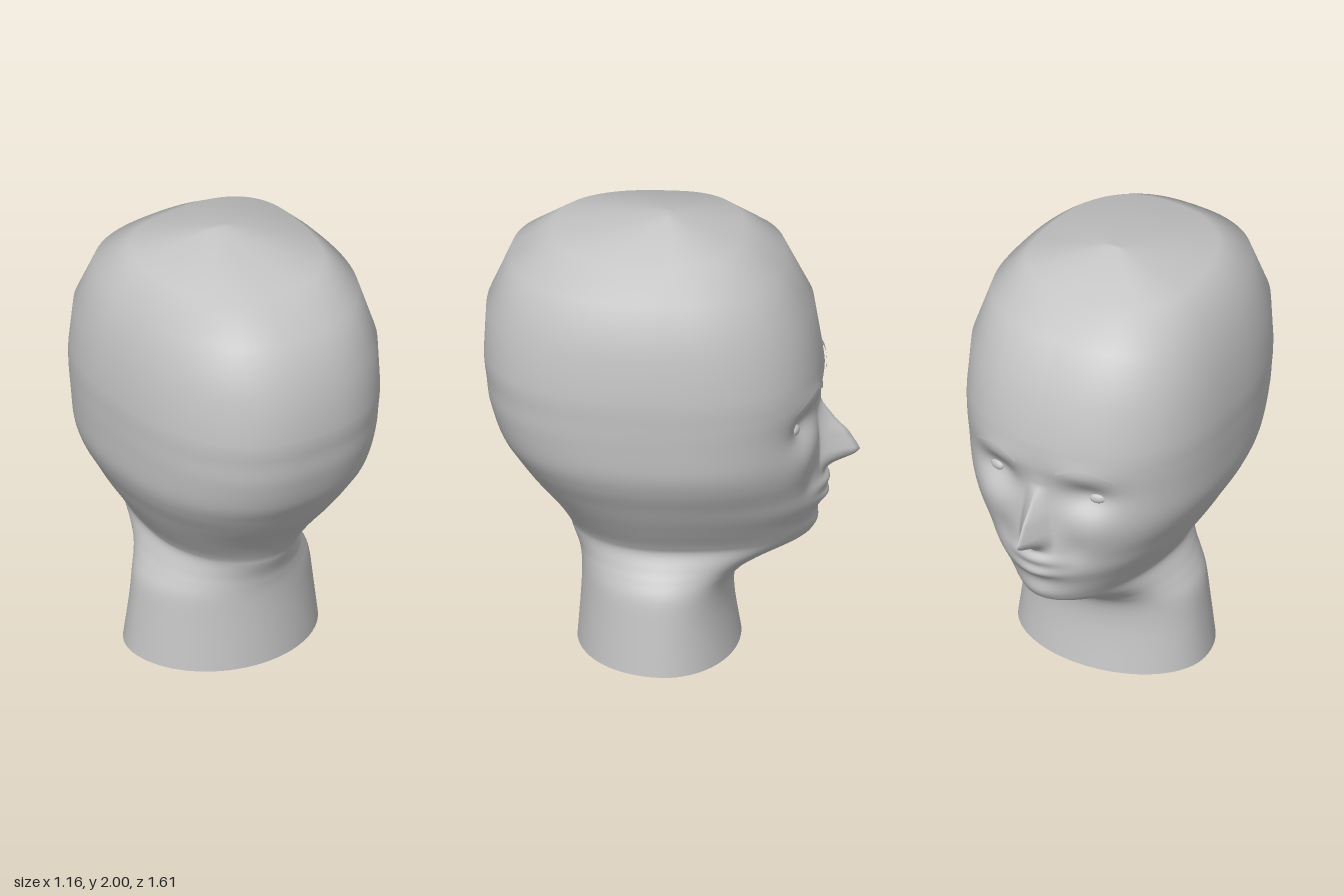
import * as THREE from 'three';

// Cross-sections: y, half width, back z, front z, roundness exponent
const KEYS = [
  [0.00, 0.445, 0.41, -0.29, 2.0],
  [0.20, 0.42, 0.395, -0.26, 2.0],
  [0.33, 0.40, 0.39, -0.27, 2.0],
  [0.40, 0.365, 0.395, -0.33, 2.0],
  [0.45, 0.335, 0.405, -0.42, 2.0],
  [0.515, 0.305, 0.43, -0.565, 2.0],
  [0.56, 0.32, 0.445, -0.605, 2.0],
  [0.64, 0.37, 0.49, -0.62, 2.1],
  [0.72, 0.42, 0.55, -0.645, 2.15],
  [0.80, 0.465, 0.615, -0.645, 2.2],
  [0.90, 0.52, 0.68, -0.64, 2.3],
  [1.00, 0.555, 0.74, -0.635, 2.35],
  [1.14, 0.57, 0.785, -0.63, 2.4],
  [1.25, 0.577, 0.80, -0.64, 2.4],
  [1.36, 0.58, 0.81, -0.635, 2.4],
  [1.57, 0.57, 0.80, -0.60, 2.4],
  [1.80, 0.50, 0.70, -0.48, 2.5],
  [1.92, 0.38, 0.52, -0.30, 2.5],
  [2.00, 0.04, 0.03, 0.01, 2.0],
  [2.00, 0.0, 0.02, 0.02, 2.0],
];
const ZC = 0.02;      // centre line of the sections
const COLS = 132;

const gauss = (v, c, s) => Math.exp(-(((v - c) / s) ** 2));
const catmull = (a, b, c, d, t) =>
  0.5 * (2 * b + (c - a) * t + (2 * a - 5 * b + 4 * c - d) * t * t + (3 * b - a - 3 * c + d) * t * t * t);

// Smooth, closely spaced rows through the face; plain bands over the crown
function makeRows() {
  const rows = [];
  for (let i = 0; i < KEYS.length - 1; i++) {
    const y = KEYS[i][0];
    const steps = y >= 1.36 ? 1 : y < 0.4 ? 4 : 9;
    const p = KEYS[Math.max(i - 1, 0)], q = KEYS[i + 2] || KEYS[i + 1];
    for (let s = 0; s < steps; s++) {
      rows.push(KEYS[i].map((v, k) => catmull(p[k], v, KEYS[i + 1][k], q[k], s / steps)));
    }
  }
  rows.push(KEYS[KEYS.length - 1]);
  return rows;
}
const ROWS = makeRows();

// How far the nose stands out at each height
const NOSE = [[0.81, 0], [0.84, 0.04], [0.885, 0.135], [0.91, 0.163], [0.94, 0.15], [1.0, 0.115], [1.05, 0.068], [1.14, 0.004], [1.2, 0]];
function noseDepth(y) {
  for (let i = 0; i < NOSE.length - 1; i++) {
    const [y0, d0] = NOSE[i], [y1, d1] = NOSE[i + 1];
    if (y >= y0 && y < y1) return THREE.MathUtils.lerp(d0, d1, (y - y0) / (y1 - y0));
  }
  return 0;
}

// Relief of the face, positive towards the front
function relief(x, y) {
  const ax = Math.abs(x);
  const width = THREE.MathUtils.mapLinear(THREE.MathUtils.clamp(y, 0.88, 1.14), 0.88, 1.14, 0.088, 0.055);
  let d = noseDepth(y) * Math.max(0, 1 - ax / width) ** 1.25;
  d -= 0.055 * gauss(ax, 0.215, 0.105) * gauss(y, 1.115, 0.07);   // eye sockets
  d += 0.010 * gauss(ax, 0.20, 0.13) * gauss(y, 1.25, 0.05);      // brow ridge
  d += 0.014 * gauss(ax, 0.27, 0.10) * gauss(y, 0.97, 0.09);      // cheeks
  d -= 0.014 * gauss(ax, 0.17, 0.06) * gauss(y, 0.84, 0.08);      // folds beside the mouth
  d += 0.026 * gauss(x, 0, 0.11) * gauss(y, 0.775, 0.03);         // upper lip
  d += 0.026 * gauss(x, 0, 0.10) * gauss(y, 0.705, 0.03);         // lower lip
  d += 0.010 * gauss(x, 0, 0.09) * gauss(y, 0.58, 0.04);          // chin
  return d;
}

// z of the face surface at a given x and y
function faceZ(x, y) {
  const i = ROWS.findIndex((r) => r[0] > y);
  const a = ROWS[i - 1], b = ROWS[i];
  const t = (y - a[0]) / (b[0] - a[0]);
  const [, w, , f, n] = a.map((v, k) => THREE.MathUtils.lerp(v, b[k], t));
  return ZC - (ZC - f) * (1 - (Math.abs(x) / w) ** n) ** (1 / n) - relief(x, y);
}

// Head and neck: one skin, open at the bottom
function headGeometry() {
  const pos = [], idx = [];
  const power = (v, e) => Math.sign(v) * Math.abs(v) ** e;
  for (const [y, w, back, front, n] of ROWS) {
    for (let i = 0; i < COLS; i++) {
      const u = (i / COLS) * Math.PI * 2;
      const a = u - 0.82 * Math.sin(u);       // columns gather at the face
      const c = Math.cos(a);
      const x = w * power(Math.sin(a), 2 / n);
      let z = ZC - (c > 0 ? ZC - front : back - ZC) * power(c, 2 / n);
      if (c > 0) z -= relief(x, y) * Math.min(1, c * 4);
      pos.push(x, y, z);
    }
  }
  for (let j = 0; j < ROWS.length - 1; j++) {
    for (let i = 0; i < COLS; i++) {
      const k = (i + 1) % COLS, lo = j * COLS, hi = lo + COLS;
      idx.push(lo + k, lo + i, hi + i, lo + k, hi + i, hi + k);
    }
  }
  return buildGeometry(pos, idx);
}

// Eyebrow: a thin arched strip just clear of the skin
function browGeometry(side) {
  const pos = [], idx = [], N = 20;
  for (let i = 0; i <= N; i++) {
    const t = i / N;
    const x = side * THREE.MathUtils.lerp(0.10, 0.35, t);
    const y = 1.255 - 0.02 * t + 0.05 * Math.sin(Math.PI * t ** 0.9);
    const h = THREE.MathUtils.lerp(0.019, 0.007, t);
    for (const e of [-h, h]) pos.push(x, y + e, faceZ(x, y + e) - 0.01);
    if (i < N) {
      const k = i * 2;
      if (side > 0) idx.push(k, k + 1, k + 2, k + 1, k + 3, k + 2);
      else idx.push(k, k + 2, k + 1, k + 1, k + 2, k + 3);
    }
  }
  return buildGeometry(pos, idx);
}

function buildGeometry(pos, idx) {
  const g = new THREE.BufferGeometry();
  g.setAttribute('position', new THREE.Float32BufferAttribute(pos, 3));
  g.setIndex(idx);
  g.computeVertexNormals();
  return g;
}

export function createModel() {
  const model = new THREE.Group();
  model.name = 'mannequinHead';
  const grey = new THREE.MeshStandardMaterial({ color: 0xc4c4c4, side: THREE.DoubleSide });
  grey.name = 'plain grey';

  const add = (name, geometry) => {
    const mesh = new THREE.Mesh(geometry, grey);
    mesh.name = name;
    model.add(mesh);
    return mesh;
  };

  add('headAndNeck', headGeometry());
  for (const side of [1, -1]) {
    const label = side > 0 ? 'left' : 'right';
    add(label + 'Eyebrow', browGeometry(side));
    // Small almond eye set in the socket
    const eye = add(label + 'Eye', new THREE.SphereGeometry(1, 20, 12));
    eye.scale.set(0.036, 0.023, 0.018);
    eye.position.set(side * 0.25, 1.11, faceZ(0.25, 1.11));
    eye.rotation.y = side * -0.3;
  }
  return model;
}
